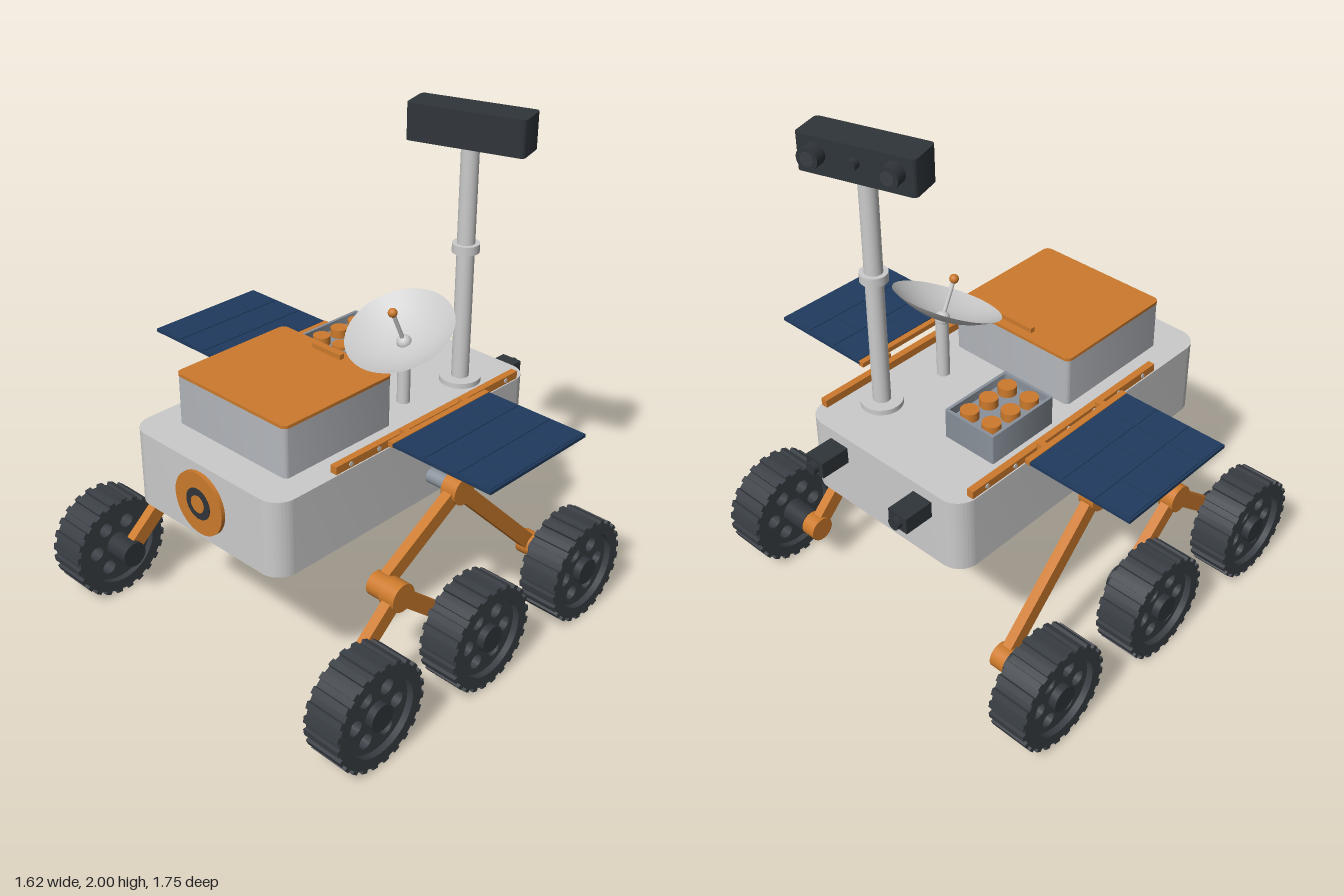
import * as THREE from 'three';
import { toCreasedNormals } from 'three/addons/utils/BufferGeometryUtils.js';

const mat = (color) => new THREE.MeshStandardMaterial({ color });
const GREY = mat(0xcccccc), BOXGREY = mat(0xb4b7bc), STEEL = mat(0x8a929b);
const ORANGE = mat(0xcc7a2c), DARK = mat(0x30353b), TYRE = mat(0x3a3f45), BLUE = mat(0x203b5e);

function add(parent, name, geo, material, x = 0, y = 0, z = 0) {
  const m = new THREE.Mesh(geo, material);
  m.name = name;
  m.position.set(x, y, z);
  parent.add(m);
  return m;
}

// Box given by its minimum and maximum on each axis
function span(parent, name, material, x0, x1, y0, y1, z0, z1) {
  return add(parent, name, new THREE.BoxGeometry(x1 - x0, y1 - y0, z1 - z0), material,
    (x0 + x1) / 2, (y0 + y1) / 2, (z0 + z1) / 2);
}

const cylY = (r, h, r2 = r) => new THREE.CylinderGeometry(r2, r, h, 32);
const cylX = (r, h) => cylY(r, h).rotateZ(-Math.PI / 2);

// Cylinder along z between two depths
function pin(parent, name, material, x, y, r, z0, z1) {
  return add(parent, name, cylY(r, z1 - z0).rotateX(Math.PI / 2), material, x, y, (z0 + z1) / 2);
}

function roundRect(w, d, r, Type = THREE.Shape) {
  const s = new Type(), a = w / 2, b = d / 2;
  s.moveTo(a, -b + r);
  s.absarc(a - r, b - r, r, 0, Math.PI / 2);
  s.absarc(-a + r, b - r, r, Math.PI / 2, Math.PI);
  s.absarc(-a + r, -b + r, r, Math.PI, Math.PI * 1.5);
  s.absarc(a - r, -b + r, r, Math.PI * 1.5, Math.PI * 2);
  return s;
}

function extrude(shape, depth) {
  return toCreasedNormals(new THREE.ExtrudeGeometry(shape,
    { depth, bevelEnabled: false, curveSegments: 16 }), 0.6);
}

// Upright slab with rounded corners, hollow when wall is given
function slab(w, d, r, h, wall = 0) {
  const s = roundRect(w, d, r);
  if (wall) s.holes.push(roundRect(w - 2 * wall, d - 2 * wall, Math.max(r - wall, 0.002), THREE.Path));
  return extrude(s, h).rotateX(-Math.PI / 2);
}

function disc(radius, holes) {
  const s = new THREE.Shape().absarc(0, 0, radius, 0, Math.PI * 2);
  for (const [x, y, r] of holes) s.holes.push(new THREE.Path().absarc(x, y, r, 0, Math.PI * 2));
  return s;
}

// Wheel geometry, shared by all six wheels
const ring = extrude(disc(0.202, [[0, 0, 0.158]]), 0.162);
const webHoles = Array.from({ length: 6 }, (_, i) =>
  [0.103 * Math.cos(i * Math.PI / 3), 0.103 * Math.sin(i * Math.PI / 3), 0.03]);
const web = extrude(disc(0.16, webHoles), 0.11);
const cleat = new THREE.BoxGeometry(0.026, 0.018, 0.162);

function wheel(parent, x, y) {
  const g = new THREE.Group();
  g.name = 'wheel';
  g.position.set(x, y, 0.635);
  add(g, 'rim', ring, TYRE);
  add(g, 'wheelDisc', web, TYRE, 0, 0, 0.026);
  for (let i = 0; i < 24; i++) {
    const a = (i + 0.5) * Math.PI / 12;
    add(g, 'cleat', cleat, TYRE, -0.206 * Math.sin(a), 0.206 * Math.cos(a), 0.081).rotation.z = a;
  }
  pin(g, 'axle', DARK, 0, 0, 0.053, -0.085, 0.167);
  parent.add(g);
}

// Suspension bar between two points at one depth
function bar(parent, name, a, b, z) {
  const dx = b[0] - a[0], dy = b[1] - a[1];
  add(parent, name, new THREE.BoxGeometry(Math.hypot(dx, dy), 0.062, 0.04), ORANGE,
    (a[0] + b[0]) / 2, (a[1] + b[1]) / 2, z).rotation.z = Math.atan2(dy, dx);
}

// Everything that exists on both sides, built at +z
function buildSide() {
  const g = new THREE.Group();
  const pivot = [0.094, 0.698], joint = [-0.307, 0.468], wy = 0.217;
  const rear = [-0.6, wy], mid = [-0.012, wy], front = [0.575, wy];
  for (const [x, y] of [rear, mid, front]) wheel(g, x, y);
  bar(g, 'rockerArm', pivot, joint, 0.517);
  bar(g, 'rockerArm', pivot, front, 0.517);
  bar(g, 'bogieArm', joint, rear, 0.59);
  bar(g, 'bogieArm', joint, mid, 0.59);
  pin(g, 'rockerShaft', STEEL, ...pivot, 0.03, 0.38, 0.5);
  pin(g, 'rockerPivot', ORANGE, ...pivot, 0.056, 0.485, 0.553);
  pin(g, 'bogiePivot', ORANGE, ...joint, 0.056, 0.555, 0.624);
  pin(g, 'bogieBoss', ORANGE, ...joint, 0.048, 0.486, 0.556);
  pin(g, 'frontBoss', ORANGE, ...front, 0.05, 0.485, 0.552);
  // Deck rail with bolts
  span(g, 'deckRail', ORANGE, -0.402, 0.592, 0.913, 0.946, 0.357, 0.385);
  for (let i = 0; i < 7; i++) pin(g, 'railBolt', GREY, -0.33 + i * 0.142, 0.93, 0.009, 0.38, 0.388);
  // Solar panel with hinges and cells
  span(g, 'solarPanel', BLUE, -0.171, 0.36, 0.949, 0.962, 0.432, 0.873);
  span(g, 'panelEdge', ORANGE, -0.171, 0.36, 0.945, 0.965, 0.411, 0.435);
  for (const x of [-0.066, 0.255]) span(g, 'panelHinge', ORANGE, x - 0.013, x + 0.013, 0.895, 0.963, 0.382, 0.416);
  for (let i = 0; i < 4; i++) for (let j = 0; j < 3; j++) {
    const x = -0.167 + i * 0.131, z = 0.438 + j * 0.144;
    span(g, 'solarCell', BLUE, x, x + 0.126, 0.96, 0.965, z, z + 0.139);
  }
  return g;
}

export function createModel() {
  const model = new THREE.Group();
  model.name = 'rover';

  // Hull, open underneath
  add(model, 'hullWalls', slab(1.353, 0.78, 0.085, 0.295, 0.012), GREY, -0.011, 0.61, 0);
  add(model, 'hullDeck', slab(1.353, 0.78, 0.085, 0.02), GREY, -0.011, 0.895, 0);

  // Running gear and panels, the far side turned round and its parts mirrored in x
  const near = buildSide();
  near.name = 'leftGear';
  const far = buildSide();
  far.name = 'rightGear';
  far.traverse((o) => {
    if (o === far) return;
    o.position.z *= -1;
    if (o.name === 'rim' || o.name === 'wheelDisc') o.position.z -= o.name === 'rim' ? 0.162 : 0.11;
  });
  model.add(near, far);

  // Equipment box with lid and handle
  add(model, 'equipmentBox', slab(0.53, 0.566, 0.02, 0.2), BOXGREY, -0.279, 0.913, 0);
  add(model, 'equipmentLid', slab(0.535, 0.57, 0.025, 0.012), ORANGE, -0.279, 1.111, 0);
  span(model, 'lidHandle', ORANGE, -0.067, -0.047, 1.12, 1.142, -0.073, 0.073);

  // Sample rack
  add(model, 'rackWalls', slab(0.314, 0.232, 0.004, 0.122, 0.012), STEEL, 0.257, 0.913, -0.195);
  span(model, 'rackFloor', STEEL, 0.105, 0.409, 0.915, 1.0, -0.306, -0.084);
  for (const x of [0.157, 0.255, 0.353]) for (const z of [-0.248, -0.142])
    add(model, 'sampleTube', cylY(0.035, 0.05), ORANGE, x, 1.01, z);

  // Camera mast
  const mx = 0.431, mz = 0.233;
  add(model, 'mastBase', cylY(0.08, 0.022), GREY, mx, 0.925, mz);
  add(model, 'mast', cylY(0.034, 0.96), GREY, mx, 1.39, mz);
  add(model, 'mastCollar', cylY(0.052, 0.034), GREY, mx, 1.468, mz);
  const head = new THREE.Group();
  head.name = 'cameraHead';
  head.position.set(mx + 0.002, 1.862, mz);
  head.rotation.y = 0.29;
  add(head, 'headCase', slab(0.138, 0.455, 0.018, 0.138), DARK);
  for (const z of [-0.15, 0.15]) {
    add(head, 'lensBarrel', cylX(0.041, 0.06), DARK, 0.088, 0.078, z);
    add(head, 'lens', cylX(0.026, 0.01), TYRE, 0.115, 0.078, z);
  }
  add(head, 'smallLens', cylX(0.021, 0.04), DARK, 0.08, 0.078, 0);
  model.add(head);

  // Dish antenna
  add(model, 'dishPost', cylY(0.025, 0.25), GREY, 0.148, 1.04, 0.195);
  const dish = new THREE.Group();
  dish.name = 'dishAntenna';
  dish.position.set(0.145, 1.164, 0.195);
  dish.rotation.z = 0.44;
  const bowl = Array.from({ length: 13 }, (_, i) =>
    new THREE.Vector2(0.211 * i / 12, 0.066 * (i / 12) ** 2));
  const shell = GREY.clone();
  shell.side = THREE.DoubleSide;
  add(dish, 'dishBowl', new THREE.LatheGeometry(bowl, 48), shell);
  add(dish, 'dishHub', new THREE.SphereGeometry(0.029, 20, 14), GREY);
  add(dish, 'feedRod', cylY(0.008, 0.155), GREY, 0, 0.078, 0);
  add(dish, 'feedTip', new THREE.SphereGeometry(0.018, 20, 14), ORANGE, 0, 0.156, 0);
  model.add(dish);

  // Hazard cameras on the nose
  for (const z of [-0.213, 0.213]) {
    span(model, 'noseCamera', DARK, 0.655, 0.785, 0.806, 0.872, z - 0.044, z + 0.044);
    add(model, 'noseLens', cylX(0.024, 0.03), DARK, 0.791, 0.839, z);
  }

  // Round hatch on the tail
  add(model, 'tailHatch', cylX(0.125, 0.02), ORANGE, -0.693, 0.762, 0);
  add(model, 'tailRing', cylX(0.062, 0.02), DARK, -0.696, 0.762, 0);
  add(model, 'tailCap', cylX(0.034, 0.02), ORANGE, -0.699, 0.762, 0);
  return model;
}
